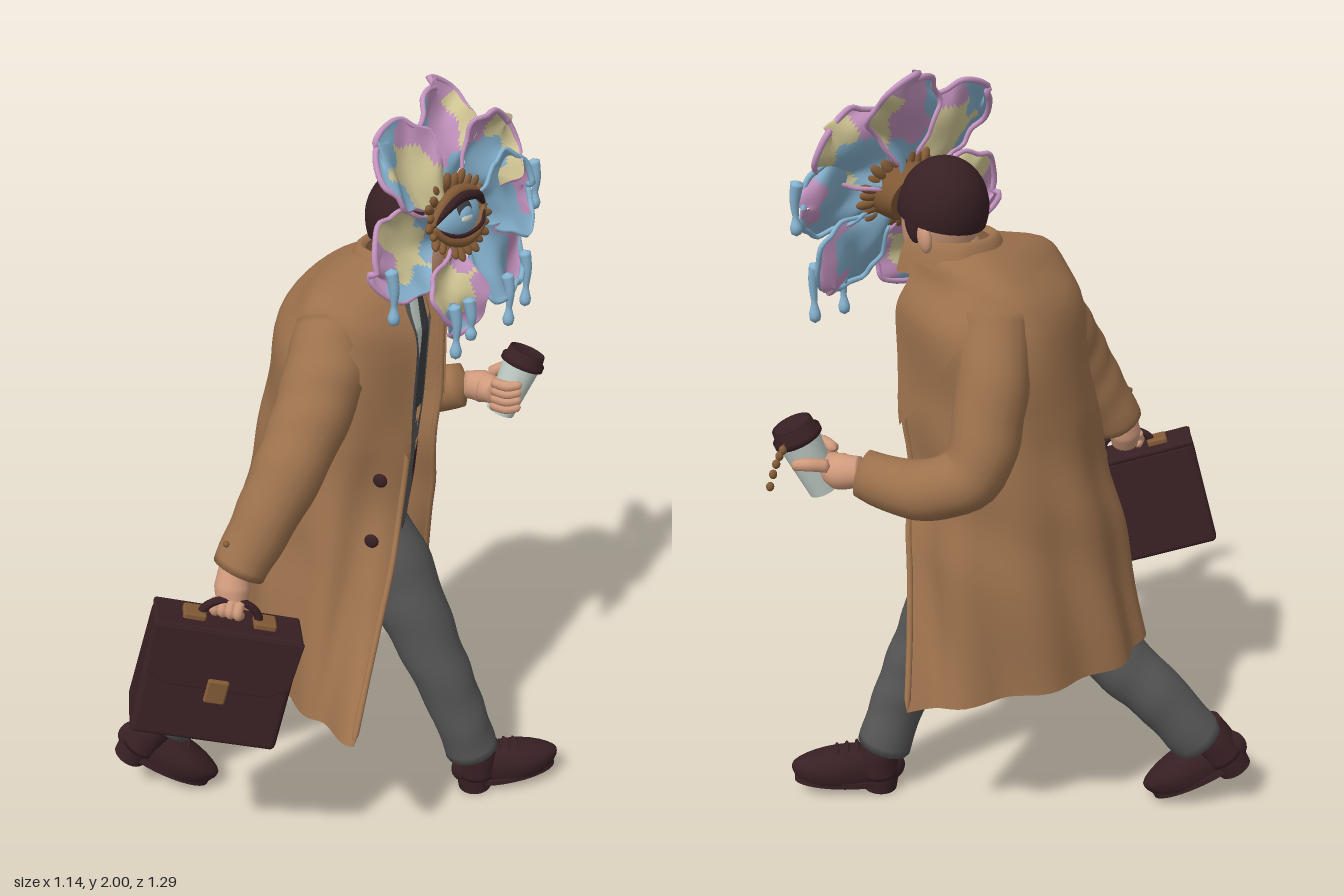
import * as THREE from 'three';
import { mergeVertices } from 'three/addons/utils/BufferGeometryUtils.js';
import { RoundedBoxGeometry } from 'three/addons/geometries/RoundedBoxGeometry.js';
import { ParametricGeometry } from 'three/addons/geometries/ParametricGeometry.js';

const { sin, cos, PI, max, min, sqrt } = Math;
const V = (x, y, z) => new THREE.Vector3(x, y, z);
const mat = (name, color) => Object.assign(new THREE.MeshStandardMaterial({ color, side: THREE.DoubleSide }), { name });
const put = (o, parent, name, pos = [0, 0, 0], rot = [0, 0, 0], scale = [1, 1, 1]) => {
  o.name = name;
  o.position.set(...pos); o.rotation.set(...rot); o.scale.set(...scale);
  parent.add(o);
  return o;
};
const add = (parent, name, geo, material, ...place) => put(new THREE.Mesh(geo, material), parent, name, ...place);
const group = (parent, name, ...place) => put(new THREE.Group(), parent, name, ...place);
const surface = (f, nu, nv) => new ParametricGeometry((u, v, t) => t.copy(f(u, v)), nu, nv);
// Moves every vertex by a rule
const warp = (g, rule) => {
  const p = g.attributes.position;
  for (let i = 0; i < p.count; i++) p.setXYZ(i, ...rule(p.getX(i), p.getY(i), p.getZ(i), i));
  g.computeVertexNormals();
  return g;
};
// Tube along points with a radius at each point, closed ends and optional cloth folds
const limb = (pts, radii, folds = 0, n = 36, sides = 18) => {
  const curve = new THREE.CatmullRomCurve3(pts.map(p => V(...p)));
  const g = warp(new THREE.TubeGeometry(curve, n, 1, sides, false), (x, y, z, i) => {
    const ring = Math.floor(i / (sides + 1)), t = ring / n, a = (i % (sides + 1)) / sides * 2 * PI;
    const k = curve.getUtoTmapping(t) * (radii.length - 1), j = min(Math.floor(k), radii.length - 2);
    const r = (radii[j] + (radii[j + 1] - radii[j]) * (k - j)) * (1 + folds * sin(t * 34 + 2 * sin(a + t * 5)));
    const c = curve.getPointAt(t);
    return V(x, y, z).sub(c).multiplyScalar(ring % n ? r : .0005).add(c).toArray();
  });
  g.deleteAttribute('normal'); g.deleteAttribute('uv');
  const m = mergeVertices(g, 1e-5);
  m.computeVertexNormals();
  return m;
};

export function createModel() {
  const coat = mat('camel wool', 0x9d724d), suit = mat('grey suit', 0x585858), dark = mat('dark leather', 0x382024);
  const skin = mat('skin', 0xd09a7c), blue = mat('petal blue', 0x86b3d0), pink = mat('petal pink', 0xc795c2);
  const cream = mat('petal cream', 0xd6cb98), brass = mat('bronze', 0x835b36);
  const pale = mat('pale white', 0xc3cfc8), tie = mat('charcoal', 0x3d3e42);
  const root = new THREE.Group(), ball = new THREE.SphereGeometry(1, 28, 20);

  // Overcoat: open sections from right front edge, round the back, to left front edge
  const sections = [
    [1.585, [.16, -.08], [.09, -.075], [.04, -.105], [.02, -.16], [.045, -.22], [.1, -.24], [.17, -.23]],
    [1.52, [.17, 0], [.08, .09], [-.02, .1], [-.085, -.1], [-.08, -.25], [0, -.29], [.15, -.27]],
    [1.42, [.205, .02], [.1, .14], [-.06, .13], [-.17, -.08], [-.16, -.26], [-.02, -.35], [.18, -.28]],
    [1.2, [.21, .05], [.1, .16], [-.08, .14], [-.205, -.05], [-.19, -.24], [-.04, -.35], [.18, -.28]],
    [1.0, [.21, .09], [.08, .18], [-.1, .15], [-.24, -.03], [-.21, -.23], [-.04, -.34], [.17, -.28]],
    [.8, [.21, .2], [.07, .23], [-.12, .165], [-.28, 0], [-.24, -.21], [-.06, -.35], [.15, -.33]],
    [.5, [.21, .4], [.05, .3], [-.14, .19], [-.325, .02], [-.28, -.17], [-.1, -.34], [.1, -.44]],
  ].map(([y, ...ps]) => new THREE.CatmullRomCurve3(
    ps.map(([x, z], i) => V(x, y === .5 ? [.51, .49, .5, .52, .5, .47, .44][i] : y, z))));
  const coatPoint = (u, v, out = 0) => {
    u = min(max(u, 0), 1);
    const p = new THREE.CatmullRomCurve3(sections.map(s => s.getPoint(u))).getPoint(min(max(v, 0), 1));
    const pleat = .025 * sin(u * 44) * max(0, v - .45) + .004 * sin(u * 13 + v * 26);
    return p.addScaledVector(V(p.x, 0, p.z + .1).normalize(), pleat + out);
  };
  add(root, 'overcoat', surface(coatPoint, 72, 36), coat);
  for (const left of [0, 1]) {
    const along = s => left ? 1 - s : s;
    add(root, 'coatLapel', surface((s, t) => coatPoint(along(s * (t < .55 ? .104 + .145 * t : .004 + .38 * (1 - t))),
      .1 + t * .45, .014 + .006 * s), 8, 24), coat);
    add(root, 'pocketFlap', surface((s, t) => coatPoint(along(.16 + .13 * s), .655 + .035 * t + .02 * s, .012), 10, 4), coat);
    add(root, 'coatEdge', limb(Array.from({ length: 13 }, (_, i) => coatPoint(left, .08 + i / 13.05).toArray()), [.007, .008]), coat);
  }
  for (const v of [.585, .71]) add(root, 'coatButton', ball, dark, coatPoint(.07, v, .01).toArray(), [0, 0, 0], [.018, .018, .01]);
  add(root, 'coatCollar', surface((u, t) => {
    const p = coatPoint(u, 0), d = V(p.x - .09, 0, p.z + .155).normalize();
    p.y += .02 * sin(t * PI) - .07 * t * t;
    return p.addScaledVector(d, .05 * t - .006);
  }, 40, 8), coat);

  // Suit jacket body and the pieces lying on its front
  const rings = [[.8, .02, -.07, .11, .15], [1.0, .03, -.08, .13, .155], [1.2, .03, -.1, .145, .165],
    [1.4, .04, -.12, .14, .165], [1.5, .07, -.14, .08, .1]];
  const chest = (a, y, out = 0) => {
    const i = rings.filter(r => y >= r[0]).length - 1, j = min(3, max(0, i));
    const k = (y - rings[j][0]) / (rings[j + 1][0] - rings[j][0]);
    const [, cx, cz, rx, rz] = rings[j].map((r, n) => r + (rings[j + 1][n] - r) * k);
    return V(cx + (rx + out) * cos(a), y, cz + (rz + out) * sin(a));
  };
  const onChest = (name, f, material) => add(root, name, surface(f, 16, 14), material);
  add(root, 'suitJacket', surface((u, v) => chest(u * 2 * PI, .8 + .7 * v), 40, 24), suit);
  onChest('shirtFront', (u, v) => chest((u - .5) * .85 * v, 1.3 + .195 * v, .005), pale);
  onChest('necktie', (u, v) => chest((u - .5) * (.34 - .08 * v), 1.2 + .29 * v, .012), tie);
  for (const s of [-1, 1]) {
    onChest('jacketLapel', (u, v) => chest(s * (.42 * v + u * (.1 + .55 * sin(PI * min(1, v + .12)))), 1.1 + .38 * v, .012), suit);
  }
  onChest('jacketLining', (u, v) => chest(-.05 - u * 1.35 * (1 - .7 * v), .77 + .3 * v, .02 - .006 * v), dark);
  onChest('jacketFront', (u, v) => chest(-.1 + u * 1.75, .8 + .08 * (1 - u) ** 2 + v * .28, .022 - .014 * v), suit);
  add(root, 'hips', ball, suit, [.01, .83, -.07], [0, 0, 0], [.125, .13, .145]);

  // Trousers
  add(root, 'leftTrouserLeg', limb([[.03, .88, -.1], [.12, .7, -.12], [.22, .48, -.13], [.305, .26, -.155], [.35, .1, -.18]],
    [.1, .105, .085, .074, .073], .025), suit);
  add(root, 'rightTrouserLeg', limb([[-.01, .88, -.03], [-.11, .68, -.03], [-.23, .49, .005], [-.365, .33, .07], [-.46, .18, .14]],
    [.1, .105, .088, .076, .074], .025), suit);

  // Shoes: toe along local +x
  const upper = warp(new THREE.SphereGeometry(1, 32, 20), (x, y, z) =>
    [x * .155, y < 0 ? max(y * .08, -.045) : y * (.062 - .025 * x), z * (.054 + .008 * sin(x * 3))]);
  for (const [name, pos, rot] of [['leftShoe', [.425, .062, -.235], [0, .6, .09]], ['rightShoe', [-.44, .11, .14], [0, .4, -.53]]]) {
    const g = group(root, name, pos, rot);
    add(g, 'shoeUpper', upper, dark);
    add(g, 'shoeSole', new THREE.CylinderGeometry(1, 1, 1, 32), dark, [.01, -.038, 0], [0, 0, 0], [.135, .016, .052]);
    add(g, 'shoeHeel', new THREE.CylinderGeometry(.05, .046, .05, 24), dark, [-.09, -.04, 0]);
    add(g, 'shoeAnkle', limb([[-.085, -.03, 0], [-.08, .05, 0], [-.08, .11, 0]], [.055, .056, .047], 0, 12), dark);
    for (let i = 0; i < 3; i++) add(g, 'shoelace', ball, dark, [-.02 + i * .027, .064 - i * .006, 0], [0, 0, 0], [.007, .007, .03]);
  }

  // Arms and hands
  add(root, 'rightSleeve', limb([[.01, 1.47, .05], [.03, 1.36, .14], [0, 1.18, .28], [-.09, .93, .405]], [.08, .098, .085, .064], .02), coat);
  add(root, 'leftSleeve', limb([[-.05, 1.46, -.25], [-.08, 1.3, -.32], [-.06, 1.1, -.39], [.05, 1.06, -.445], [.2, 1.09, -.475]],
    [.08, .086, .078, .072, .056], .02), coat);
  for (let i = 0; i < 3; i++) add(root, 'sleeveButton', ball, brass, [-.1 + i * .02, 1.03 - i * .015, .425 + i * .004], [0, 0, 0], [.008, .008, .008]);
  add(root, 'rightHand', limb([[-.09, .97, .4], [-.09, .91, .42], [-.085, .865, .435]], [.035, .044, .035], 0, 16), skin);
  add(root, 'leftHand', limb([[.18, 1.09, -.47], [.235, 1.085, -.485], [.285, 1.085, -.46]], [.034, .044, .03], 0, 16), skin);
  add(root, 'leftThumb', limb([[.24, 1.11, -.52], [.28, 1.12, -.555], [.32, 1.11, -.557]], [.016, .016, .012], 0, 12, 10), skin);
  for (let i = 0; i < 4; i++) {
    const y = 1.12 - i * .022, x = -.115 + i * .02;
    add(root, 'leftFinger', limb([[.27, y, -.45], [.32, y + .005, -.43], [.355, y + .01, -.445]], [.014, .014, .01], 0, 12, 10), skin);
    add(root, 'rightFinger', limb([[x, .9, .455], [x, .87, .47], [x, .857, .45]], [.012, .013, .01], 0, 12, 10), skin);
  }

  // Paper cup with lid and a string of beads
  const cup = group(root, 'coffeeCup', [.312, 1.095, -.492]);
  cup.quaternion.setFromUnitVectors(V(0, 1, 0), V(.045, .14, -.035).normalize());
  add(cup, 'cupBody', new THREE.CylinderGeometry(.052, .038, .15, 32), pale);
  add(cup, 'cupLid', new THREE.LatheGeometry([[0, .1], [.042, .1], [.044, .108], [.049, .108], [.052, .085], [.059, .082], [.059, .068], [.05, .068]]
    .map(p => new THREE.Vector2(...p)), 32), dark);
  for (let i = 0; i < 6; i++) add(root, 'bead', ball, brass, [.335 - .002 * i, 1.155 - .0026 * i * i, -.555 - .017 * i], [0, 0, 0], [.009, .011, .01]);

  // Briefcase, hung with one end low
  const bag = group(root, 'briefcase', [-.12, .69, .475], [0, .5, -.26]);
  add(bag, 'caseBody', warp(new RoundedBoxGeometry(.36, .3, .13, 3, .015), (x, y, z) => [x, y, z * (1 - 1.7 * y)]), dark);
  const flap = new THREE.Shape([[-.178, 0], [.178, 0], [.17, -.12], [.12, -.145], [-.12, -.145], [-.17, -.12]].map(p => new THREE.Vector2(...p)));
  add(bag, 'caseFlap', new THREE.ExtrudeGeometry(flap, { depth: .008, bevelSize: .003, bevelThickness: .003 }), dark, [0, .148, .048], [-.11, 0, 0]);
  add(bag, 'caseTop', new RoundedBoxGeometry(.358, .016, .11, 2, .007), dark, [0, .15, 0]);
  add(bag, 'clasp', new RoundedBoxGeometry(.052, .065, .014, 2, .006), brass, [0, 0, .076]);
  add(bag, 'handle', new THREE.TorusGeometry(.07, .011, 10, 28, PI), dark, [0, .16, 0], [0, 0, 0], [1, .75, 1]);
  for (const s of [-1, 1]) add(bag, 'handleMount', new RoundedBoxGeometry(.055, .02, .05, 2, .006), brass, [s * .085, .163, 0]);

  // Head
  add(root, 'neck', limb([[.06, 1.44, -.15], [.09, 1.52, -.16], [.13, 1.61, -.17]], [.07, .066, .065], 0, 16), skin);
  add(root, 'shirtCollar', new THREE.CylinderGeometry(.07, .08, .06, 28, 1, true), pale, [.1, 1.505, -.155], [0, 0, -.3]);
  const head = group(root, 'head', [.13, 1.645, -.17], [0, -.1, -.22]);
  add(head, 'face', warp(new THREE.SphereGeometry(1, 32, 24), (x, y, z) =>
    [x * .098 + max(0, -y) * .045, y * (y < 0 ? .17 : .12), z * (.093 - .02 * max(0, -y))]), skin);
  add(head, 'hair', new THREE.SphereGeometry(1, 32, 20, 0, 2 * PI, 0, PI * .56), dark, [-.006, .008, 0], [0, 0, .45], [.108, .122, .105]);
  add(head, 'nose', new THREE.ConeGeometry(.018, .05, 12), skin, [.108, -.05, 0], [0, 0, -.3]);
  for (const s of [-1, 1]) {
    add(head, 'ear', ball, skin, [-.005, -.045, s * .09], [0, s * .35, .1], [.022, .035, .014]);
    add(head, 'sideburn', ball, dark, [.025, -.01, s * .084], [0, 0, 0], [.02, .045, .014]);
  }

  // Flower covering the face, its own +z facing outward
  const flower = group(root, 'flower', [.222, 1.675, -.165]);
  flower.lookAt(V(.222 + .92, 1.675 + .26, -.165 + .27));
  // Each petal: angle, length, forward tilt, then colours at base, clockwise side, other side, tip and middle
  [[80, .25, 0, 'bcbpp'], [133, .245, 0, 'cpbbc'], [190, .235, 0, 'bcbpc'], [247, .21, .12, 'pcpbc'], [311, .235, .15, 'bbppb'],
    [0, .22, .2, 'bbbpb'], [37, .225, .3, 'bcpcb']].forEach(([deg, len, tilt, colours], k) => {
    const petalPoint = (u, t) => {
      const s = 2 * u - 1, v = sin(t * PI / 2);
      const w = v > .62 ? .1 * sqrt(max(0, 1 - ((v - .62) / .38) ** 2)) : .03 + .07 * sin(v / .62 * PI / 2) ** 2;
      return V(.06 + len * v * (1 + .05 * sin(s * 5 + k)), s * w * (1 + .07 * sin(v * 19 + k + 3 * s)),
        .008 + .025 * s * s * sin(v * 2.6) - .025 * v * v + (k % 2) * .018 + tilt * len * v + .012 * sin(v * 7 + k + s * 2));
    };
    const blade = surface(petalPoint, 28, 30), idx = blade.index.array, p = blade.attributes.position, sets = { b: [], p: [], c: [] };
    const spots = [[.02, 0], [.55, -1], [.55, 1], [1, 0], [.5, 0]];
    for (let i = 0; i < idx.length; i += 3) {
      const x = (p.getX(idx[i]) - .06) / len, y = p.getY(idx[i]) / .1;
      const gap = spots.map(([a, b]) => (x - a + .07 * sin(y * 7 + k)) ** 2 + ((y - b + .15 * sin(x * 13 + k)) * .5) ** 2);
      sets[colours[gap.indexOf(min(...gap))]].push(idx[i], idx[i + 1], idx[i + 2]);
    }
    blade.setIndex(Object.values(sets).flat());
    Object.values(sets).reduce((start, s, i) => { blade.addGroup(start, s.length, i); return start + s.length; }, 0);
    const g = group(flower, 'petal', [0, 0, 0], [0, 0, deg * PI / 180]);
    add(g, 'petalBlade', blade, [blue, pink, cream]);
    const edge = Array.from({ length: 32 }, (_, i) => petalPoint(i > 15 ? 1 : 0, min(i + 1, 32 - i) / 16).toArray());
    add(g, 'petalRim', limb(edge, [.005, .008, .005], 0, 60, 8), k === 4 || k === 5 ? blue : pink, [0, 0, -.007]);
  });
  // Paint drips hanging from the petals
  for (const [x, y, z, h] of [[.19, 1.59, .11, .07], [.3, 1.47, -.02, .07], [.32, 1.47, -.07, .04], [.36, 1.47, -.25, .07], [.37, 1.49, -.36, .08],
    [.36, 1.7, -.43, .06]]) add(root, 'drip', limb([[x - .01, y + .05, z], [x, y, z], [x, y - h * .6, z], [x, y - h, z], [x, y - h - .02, z]],
    [.016, .012, .007, .015, .01], 0, 20, 10), blue);

  // Eye at the centre of the flower
  add(flower, 'eyeBase', new THREE.CylinderGeometry(.09, .07, .05, 32), brass, [0, 0, 0], [PI / 2, 0, 0], [1.1, 1, .85]);
  for (let i = 0; i < 26; i++) {
    const a = i / 26 * 2 * PI, r = .1 + .01 * (i % 2);
    add(flower, 'ruffScale', ball, brass, [r * cos(a), r * .78 * sin(a), .026], [0, -.4, a, 'ZYX'], [.024, .012, .01]);
  }
  for (const [name, material, pos, scale] of [['eyeball', blue, [0, 0, .024], [.085, .052, .032]], ['iris', tie, [0, .008, .039], [.04, .034, .02]],
    ['irisCentre', blue, [0, .004, .046], [.03, .024, .016]], ['glint', pale, [-.004, -.006, .058], [.022, .009, .005]]]) {
    add(flower, name, ball, material, pos, [0, 0, 0], scale);
  }
  for (const s of [-1, 1]) {
    const arc = (h, z) => [[-.108, 0, .03], [-.06, s * h * .75, z], [0, s * h, z], [.06, s * h * .75, z], [.108, 0, .03]];
    add(flower, 'eyelid', limb(arc(.058, .04), [.008, .013, .015, .013, .008]), brass);
    add(flower, 'lashLine', limb(arc(.044, .052), s > 0 ? [.005, .011, .013, .011, .005] : [.003, .005, .005, .005, .003]), dark);
  }
  return root;
}
